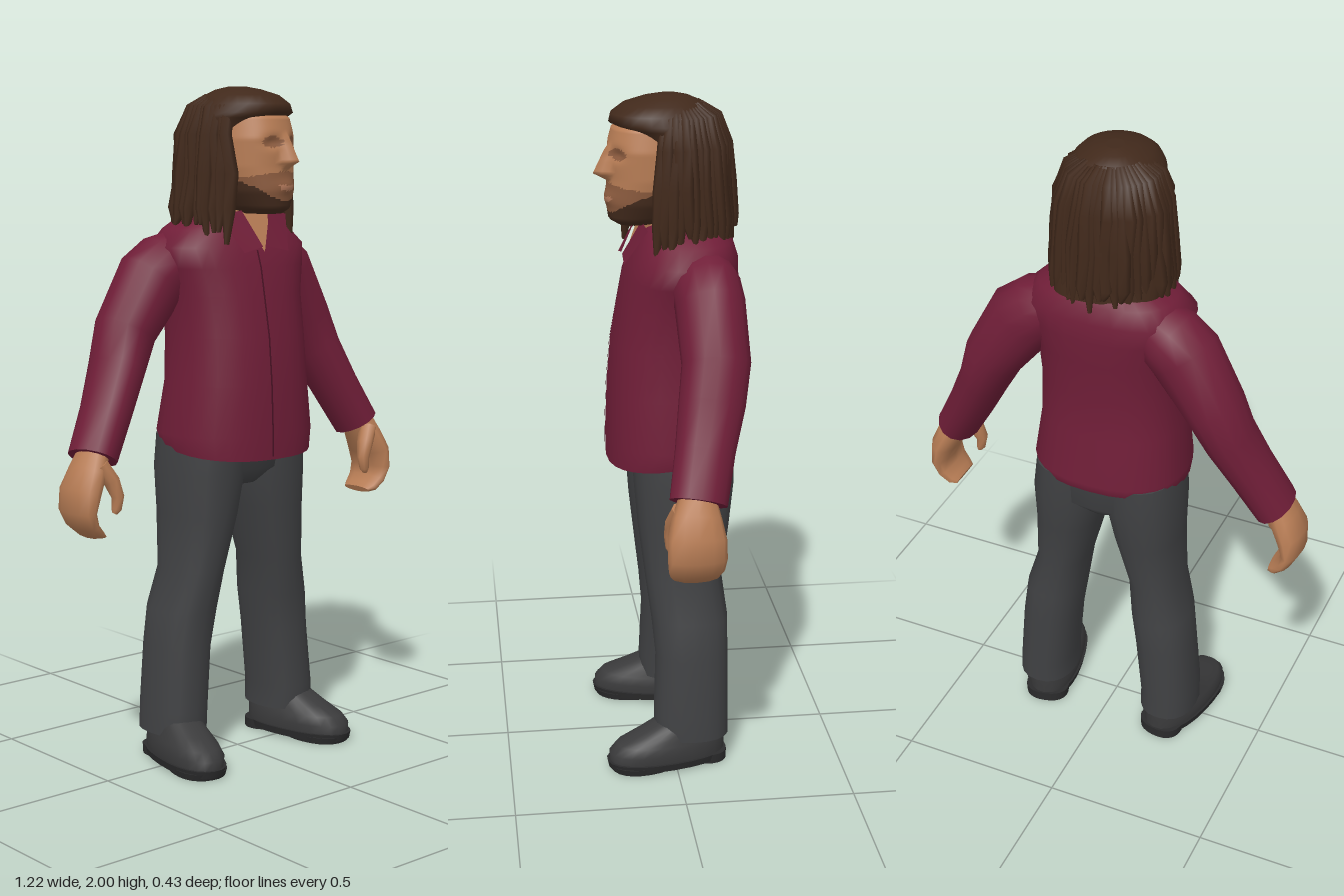
import * as THREE from 'three';

const mat = (name, color, side = THREE.FrontSide) => {
  const m = new THREE.MeshStandardMaterial({ color, side });
  m.name = name;
  return m;
};

// Horizontal superellipse ring; tilt lifts the back edge
function ring(y, cx, hw, zf, zb, n = 24, p = 2.3, tilt = 0) {
  const pts = [], mid = (zf + zb) / 2, hz = (zf - zb) / 2;
  const pow = v => Math.sign(v) * Math.abs(v) ** (2 / p);
  for (let j = 0; j < n; j++) {
    const a = (j / n) * Math.PI * 2, s = pow(Math.sin(a));
    pts.push(new THREE.Vector3(cx + hw * pow(Math.cos(a)), y + tilt * (0.5 - s / 2), mid + hz * s));
  }
  return pts;
}

// Smooth skin through rings, with flat caps on both ends
function loft(rings) {
  const n = rings[0].length, pos = [], idx = [];
  const add = v => pos.push(v.x, v.y, v.z) / 3 - 1;
  rings.forEach(r => r.forEach(add));
  for (let i = 0; i < rings.length - 1; i++)
    for (let j = 0; j < n; j++) {
      const a = i * n + j, b = i * n + (j + 1) % n;
      idx.push(a, a + n, b, b, a + n, b + n);
    }
  [rings[0], rings[rings.length - 1]].forEach((r, end) => {
    const c = add(r.reduce((s, v) => s.add(v), new THREE.Vector3()).divideScalar(n));
    r.forEach(add);
    for (let j = 0; j < n; j++) {
      const a = c + 1 + j, b = c + 1 + (j + 1) % n;
      end ? idx.push(c, b, a) : idx.push(c, a, b);
    }
  });
  const g = new THREE.BufferGeometry();
  g.setAttribute('position', new THREE.Float32BufferAttribute(pos, 3));
  g.setIndex(idx);
  g.computeVertexNormals();
  return g;
}

// Limb along stations [x, y, z, radius across, radius in depth]
function limb(st, s = 1, n = 12) {
  const c = st.map(p => new THREE.Vector3(p[0] * s, p[1], p[2]));
  return loft(c.map((o, i) => {
    const d = c[Math.min(i + 1, c.length - 1)].clone().sub(c[Math.max(i - 1, 0)]).normalize();
    const u = d.clone().cross(new THREE.Vector3(0, 0, 1)).normalize();
    const v = u.clone().cross(d);
    return Array.from({ length: n }, (_, j) => {
      const a = (j / n) * Math.PI * 2;
      return o.clone().addScaledVector(u, Math.cos(a) * st[i][3]).addScaledVector(v, Math.sin(a) * st[i][4]);
    });
  }));
}

// Linear lookup of a row table by height
function sample(rows, y) {
  let i = 0;
  while (i < rows.length - 2 && y > rows[i + 1][0]) i++;
  const t = (y - rows[i][0]) / (rows[i + 1][0] - rows[i][0]);
  return rows[i].map((v, k) => v + (rows[i + 1][k] - v) * t);
}

// Thin polygon fan from corner points
function plate(points) {
  const g = new THREE.BufferGeometry().setFromPoints(points.map(p => new THREE.Vector3(...p)));
  g.setIndex(points.length === 3 ? [0, 1, 2] : [0, 1, 2, 0, 2, 3]);
  g.computeVertexNormals();
  return g;
}

export function createModel() {
  const skin = mat('skin', 0xb87d55, THREE.DoubleSide), shade = mat('shaded skin', 0x8d5c3f);
  const lips = mat('lips', 0xb57a5c), hair = mat('hair', 0x41291b), beard = mat('beard', 0x442b1d);
  const shirt = mat('shirt', 0x701e38, THREE.DoubleSide), seam = mat('shirt seam', 0x4a1225);
  const cloth = mat('trousers', 0x404143), leather = mat('shoe leather', 0x3a3a3b), rubber = mat('sole', 0x2b2b2c);
  const model = new THREE.Group();
  const part = (name, geo, m, parent = model) => {
    const mesh = new THREE.Mesh(geo, m);
    mesh.name = name;
    parent.add(mesh);
    return mesh;
  };

  // Shirt body: y, half width, front z, back z
  const torso = [[0.92, 0.225, 0.18, -0.205], [0.99, 0.235, 0.18, -0.215], [1.14, 0.216, 0.174, -0.19],
    [1.28, 0.21, 0.162, -0.19], [1.4, 0.215, 0.14, -0.2], [1.48, 0.238, 0.125, -0.208],
    [1.54, 0.255, 0.105, -0.205], [1.59, 0.205, 0.08, -0.19], [1.625, 0.145, 0.06, -0.165], [1.65, 0.08, 0.03, -0.13]];
  part('shirt', loft(torso.map(([y, w, f, b], i) => ring(y, 0, w, f, b, 28, 2.4, i ? 0 : 0.04))), shirt);
  const placket = new THREE.PlaneGeometry(0.006, 0.6, 1, 24).translate(-0.02, 1.23, 0);
  const pp = placket.attributes.position;
  for (let i = 0; i < pp.count; i++) pp.setZ(i, sample(torso, pp.getY(i))[2] + 0.003);
  placket.computeVertexNormals();
  part('shirt placket seam', placket, seam);

  // Neck and open collar
  part('neck', loft([ring(1.56, 0.005, 0.065, 0.065, -0.09), ring(1.64, 0.01, 0.06, 0.07, -0.09),
    ring(1.72, 0.015, 0.06, 0.08, -0.09)]), skin);
  part('open neckline', plate([[-0.06, 1.635, 0.072], [0, 1.525, 0.122], [0.06, 1.635, 0.072]]), skin);
  for (const s of [1, -1]) {
    const flap = [[0.05, 1.645, 0.075], [0.012, 1.54, 0.128], [0.085, 1.525, 0.13], [0.13, 1.63, 0.066]]
      .map(([x, y, z]) => [x * s, y, z]);
    part('collar flap', plate(s > 0 ? flap : flap.reverse()), shirt);
  }

  // Seat of the trousers
  part('trouser seat', loft([ring(0.83, 0, 0.07, 0.05, -0.14), ring(0.88, 0, 0.2, 0.1, -0.185),
    ring(1.0, 0, 0.215, 0.12, -0.19)]), cloth);

  for (const s of [1, -1]) {
    const side = s > 0 ? 'left ' : 'right ';
    part(side + 'sleeve', limb([[0.15, 1.515, -0.085, 0.08, 0.085], [0.2, 1.485, -0.09, 0.1, 0.1],
      [0.25, 1.445, -0.095, 0.108, 0.1], [0.345, 1.3, -0.1, 0.09, 0.098], [0.388, 1.2, -0.083, 0.076, 0.095],
      [0.45, 1.08, -0.055, 0.07, 0.085], [0.52, 0.955, -0.028, 0.065, 0.082]], s, 14), shirt);

    // Curled hand with separate thumb
    part(side + 'hand', limb([[0.515, 0.98, -0.025, 0.042, 0.05], [0.545, 0.92, -0.02, 0.045, 0.07],
      [0.572, 0.865, -0.018, 0.042, 0.083], [0.582, 0.81, -0.018, 0.03, 0.083], [0.566, 0.77, -0.018, 0.023, 0.078],
      [0.54, 0.745, -0.018, 0.019, 0.07], [0.522, 0.737, -0.018, 0.01, 0.055]], s), skin);
    part(side + 'thumb', limb([[0.53, 0.94, 0.02, 0.026, 0.03], [0.502, 0.895, 0.037, 0.023, 0.027],
      [0.487, 0.85, 0.045, 0.018, 0.02], [0.492, 0.815, 0.045, 0.014, 0.016], [0.497, 0.802, 0.043, 0.007, 0.009]], s, 8), skin);

    // Trouser leg: y, centre x, half width, front z, back z
    part(side + 'trouser leg', loft([[0.09, 0.213, 0.088, 0.058, -0.165], [0.16, 0.212, 0.087, 0.062, -0.165],
      [0.35, 0.195, 0.089, 0.055, -0.165], [0.46, 0.18, 0.09, 0.065, -0.165], [0.58, 0.156, 0.08, 0.08, -0.15],
      [0.75, 0.13, 0.1, 0.1, -0.175], [0.88, 0.118, 0.116, 0.11, -0.19], [0.98, 0.112, 0.11, 0.115, -0.19]]
      .map(([y, x, w, f, b]) => ring(y, x * s, w, f, b, 20))), cloth);

    // Shoe turned slightly outwards
    const shoe = new THREE.Group();
    shoe.name = side + 'shoe';
    shoe.position.x = 0.225 * s;
    shoe.rotation.y = 0.2 * s;
    part('shoe upper', loft([[0.025, 0.08, 0.205, -0.155], [0.055, 0.084, 0.205, -0.155], [0.08, 0.076, 0.182, -0.155],
      [0.105, 0.068, 0.125, -0.152], [0.14, 0.06, 0.05, -0.14]].map(([y, w, f, b]) => ring(y, 0, w, f, b))), leather, shoe);
    part('sole', loft([ring(0.008, 0, 0.084, 0.208, -0.155), ring(0.03, 0, 0.088, 0.213, -0.16)]), rubber, shoe);
    part('heel', loft([ring(0, 0, 0.068, -0.05, -0.16), ring(0.03, 0, 0.07, -0.05, -0.16)]), rubber, shoe);
    part('front sole', loft([ring(0, 0, 0.075, 0.2, 0), ring(0.02, 0, 0.08, 0.208, -0.02)]), rubber, shoe);
    model.add(shoe);
  }

  // Head turned a little to its left
  const head = new THREE.Group();
  head.name = 'head';
  head.position.z = -0.02;
  head.rotation.y = 0.21;
  model.add(head);
  const skull = [[1.635, 0.045, 0.165, 0.05], [1.65, 0.07, 0.19, 0.0], [1.7, 0.098, 0.197, -0.06], [1.77, 0.115, 0.192, -0.1],
    [1.85, 0.118, 0.195, -0.1], [1.91, 0.108, 0.178, -0.1], [1.96, 0.07, 0.11, -0.08]];
  const rows = Array.from({ length: 53 }, (_, i) => {
    const [y, w, f, b] = sample(skull, 1.635 + (i / 52) * 0.325);
    return ring(y, 0, w, f, b, 72, 2.25);
  });
  const bump = (x, y, cx, cy, rx, ry) => Math.exp(-(((x - cx) / rx) ** 2) - ((y - cy) / ry) ** 2);
  rows.flat().forEach(v => { // nose, eye sockets and mouth
    if (v.z < 0.08) return;
    const x = Math.abs(v.x), y = v.y;
    const ramp = Math.max(0, Math.min((1.87 - y) / 0.085, (y - 1.76) / 0.025));
    v.z += 0.046 * Math.max(0, 1 - x / (0.014 + 0.016 * ramp)) * ramp
      - 0.014 * bump(x, y, 0.045, 1.842, 0.026, 0.018) + 0.008 * bump(x, y, 0, 1.715, 0.04, 0.018);
  });
  const face = loft(rows);
  const tone = (x, y, z) => {
    const a = Math.abs(x);
    if (z < 0.03) return 0;
    if (y < 1.672 + 5.5 * x * x) return 3;
    if ((x / 0.036) ** 2 + ((y - 1.709 - 6 * x * x) / 0.009) ** 2 < 1) return 2;
    if (y < 1.757 - 1.5 * x * x) return 1;
    return ((a - 0.046) / 0.03) ** 2 + ((y - 1.842) / 0.017) ** 2 < 1 ? 1 : 0;
  };
  const old = face.index.array, fp = face.attributes.position, bins = [[], [], [], []];
  for (let i = 0; i < old.length; i += 3) {
    const t = [old[i], old[i + 1], old[i + 2]];
    const mean = k => t.reduce((s, v) => s + fp.getComponent(v, k), 0) / 3;
    bins[tone(mean(0), mean(1), mean(2))].push(...t);
  }
  face.setIndex(bins.flat());
  let start = 0;
  bins.forEach((b, i) => { face.addGroup(start, b.length, i); start += b.length; });
  part('face', face, [skin, shade, lips, beard], head);

  // Hair mass behind and above the face
  part('hair', loft([[1.6, 0.15, -0.03, -0.165], [1.66, 0.155, 0.0, -0.16], [1.72, 0.155, 0.06, -0.155],
    [1.8, 0.15, 0.09, -0.142], [1.88, 0.145, 0.12, -0.128], [1.91, 0.14, 0.155, -0.12], [1.925, 0.136, 0.185, -0.115],
    [1.95, 0.122, 0.18, -0.105], [1.975, 0.1, 0.145, -0.085], [1.992, 0.06, 0.09, -0.05], [2.0, 0.025, 0.045, -0.015]]
    .map(([y, w, f, b]) => ring(y, 0, w, f, b, 28, 2.1))), hair, head);

  // Hanging locks, from temple to temple round the back
  let seed = 7;
  const rand = () => (seed = (seed * 16807) % 2147483647) / 2147483647;
  const count = 34;
  for (let i = 0; i < count; i++) {
    const a = THREE.MathUtils.degToRad(56 + (i / (count - 1)) * 248);
    const front = Math.max(0, Math.cos(a)), end = (front > 0.1 ? 1.54 : 1.575) + rand() * 0.045;
    const out = 0.97 + rand() * 0.08, r = 0.015 + rand() * 0.006;
    const path = [[0.5, 1.972, 0.5], [0.8, 1.938, 0.9], [0.97, 1.86, 1], [1.02, 1.75, 1.1], [1.09, 1.65, 1], [1.14, end, 0.35]];
    part('hair lock', limb(path.map(([k, y, w], j) => {
      const wob = j > 1 ? (rand() - 0.5) * 0.014 : 0;
      return [Math.sin(a) * 0.155 * k * out + wob, y,
        Math.cos(a) * (front ? 0.12 : 0.15) * k * out + wob + front * j * 0.008, r * w, r * w];
    }), 1, 6), hair, head);
  }
  return model;
}
